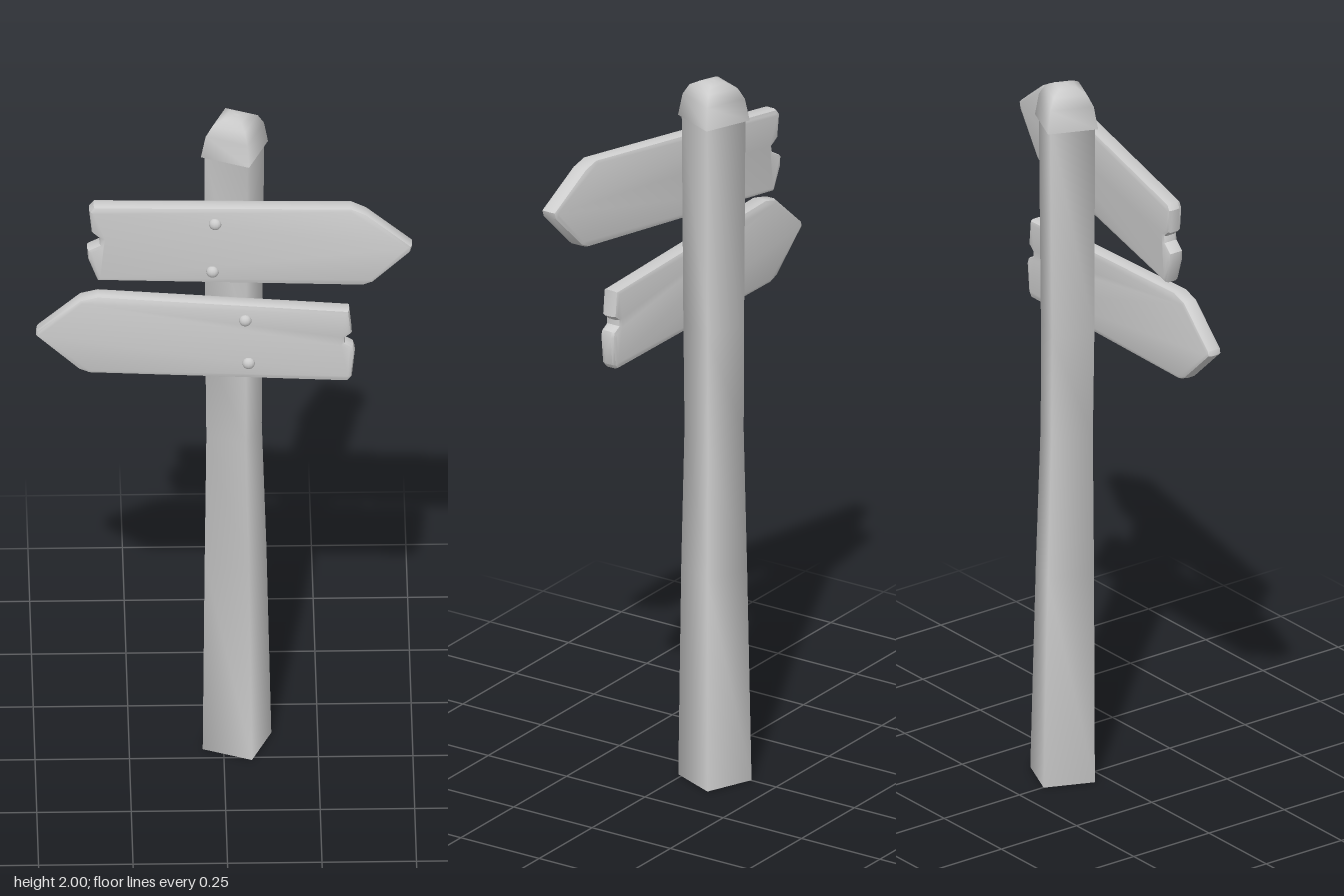
import * as THREE from 'three';
import { toCreasedNormals } from 'three/addons/utils/BufferGeometryUtils.js';

const weathered = new THREE.MeshStandardMaterial({ color: 0xcccccc });
weathered.name = 'weathered grey';

// Square column lofted through rings [y, centreX, centreZ, side], with smooth sides and flat ends
function squareLoft(rings, turn) {
  const pos = [], idx = [];
  const addRing = ([y, cx, cz, side]) => {
    for (let k = 0; k < 4; k++) {
      const a = turn + Math.PI / 4 + k * Math.PI / 2, r = side / Math.SQRT2;
      pos.push(cx + r * Math.cos(a), y, cz + r * Math.sin(a));
    }
  };
  rings.forEach(addRing);
  for (let i = 0; i < rings.length - 1; i++) {
    for (let k = 0; k < 4; k++) {
      const a = i * 4 + k, b = i * 4 + (k + 1) % 4;
      idx.push(a, a + 4, b + 4, a, b + 4, b);
    }
  }
  const e = rings.length * 4;
  addRing(rings[0]);
  addRing(rings[rings.length - 1]);
  idx.push(e, e + 1, e + 2, e, e + 2, e + 3, e + 4, e + 6, e + 5, e + 4, e + 7, e + 6);
  const g = new THREE.BufferGeometry();
  g.setAttribute('position', new THREE.Float32BufferAttribute(pos, 3));
  g.setIndex(idx);
  g.computeVertexNormals();
  return g;
}

// Bevelled arrow board, skewed in depth so that its centre lies on z = z0 + slope * x
function signBoard(name, outline, z0, slope, bolts) {
  const thick = 0.046, bevel = 0.011;
  const group = new THREE.Group();
  group.name = name;
  const shape = new THREE.Shape(outline.map(([x, y]) => new THREE.Vector2(x, y)));
  let g = new THREE.ExtrudeGeometry(shape, {
    depth: thick - 2 * bevel, bevelEnabled: true, bevelThickness: bevel,
    bevelSize: bevel, bevelOffset: -bevel, bevelSegments: 2,
  });
  g.translate(0, 0, bevel - thick / 2);
  const p = g.attributes.position;
  for (let i = 0; i < p.count; i++) p.setZ(i, p.getZ(i) + z0 + slope * p.getX(i));
  g = toCreasedNormals(g, 0.7);
  const board = new THREE.Mesh(g, weathered);
  board.name = 'board';
  group.add(board);

  // Round-headed bolts on the front face
  for (const [x, y] of bolts) {
    const bolt = new THREE.Mesh(new THREE.SphereGeometry(0.017, 12, 8), weathered);
    bolt.name = 'bolt';
    bolt.scale.z = 0.8;
    bolt.position.set(x, y, z0 + slope * x + thick / 2);
    bolt.rotation.y = -Math.atan(slope);
    group.add(bolt);
  }
  return group;
}

export function createModel() {
  const model = new THREE.Group();
  model.name = 'signpost';
  const turn = 0.394;

  // Tapering post, slightly waisted
  const post = new THREE.Mesh(squareLoft([
    [0, 0.036, -0.079, 0.140], [0.6, 0.032, -0.074, 0.126], [1.0, 0.028, -0.071, 0.113],
    [1.3, 0.027, -0.069, 0.116], [1.92, 0.029, -0.070, 0.122],
  ], turn), weathered);
  post.name = 'post';
  model.add(post);

  // Domed cap with a flared rim
  const cap = new THREE.Mesh(squareLoft([
    [1.893, 0.029, -0.071, 0.137], [1.955, 0.030, -0.071, 0.119], [1.984, 0.031, -0.071, 0.092],
    [1.998, 0.033, -0.071, 0.05], [2.0, 0.034, -0.071, 0.015],
  ], turn), weathered);
  cap.name = 'cap';
  model.add(cap);

  // Upper board pointing to +x, with a chipped tail
  model.add(signBoard('upperSign', [
    [-0.335, 1.54], [0.365, 1.597], [0.392, 1.61], [0.49, 1.715], [0.495, 1.735],
    [0.375, 1.825], [0.335, 1.84], [-0.345, 1.773], [-0.357, 1.757], [-0.35, 1.69],
    [-0.327, 1.672], [-0.33, 1.655], [-0.362, 1.635], [-0.36, 1.605],
  ], 0.06, 0.172, [[-0.025, 1.755], [-0.032, 1.603]]));

  // Lower board pointing to -x, with a chipped tail
  model.add(signBoard('lowerSign', [
    [-0.357, 1.263], [0.325, 1.248], [0.337, 1.262], [0.345, 1.343], [0.34, 1.358],
    [0.319, 1.37], [0.319, 1.385], [0.337, 1.40], [0.33, 1.472], [-0.335, 1.508],
    [-0.382, 1.495], [-0.495, 1.393], [-0.498, 1.378], [-0.385, 1.274],
  ], 0.043, 0.042, [[0.055, 1.44], [0.064, 1.304]]));

  return model;
}
